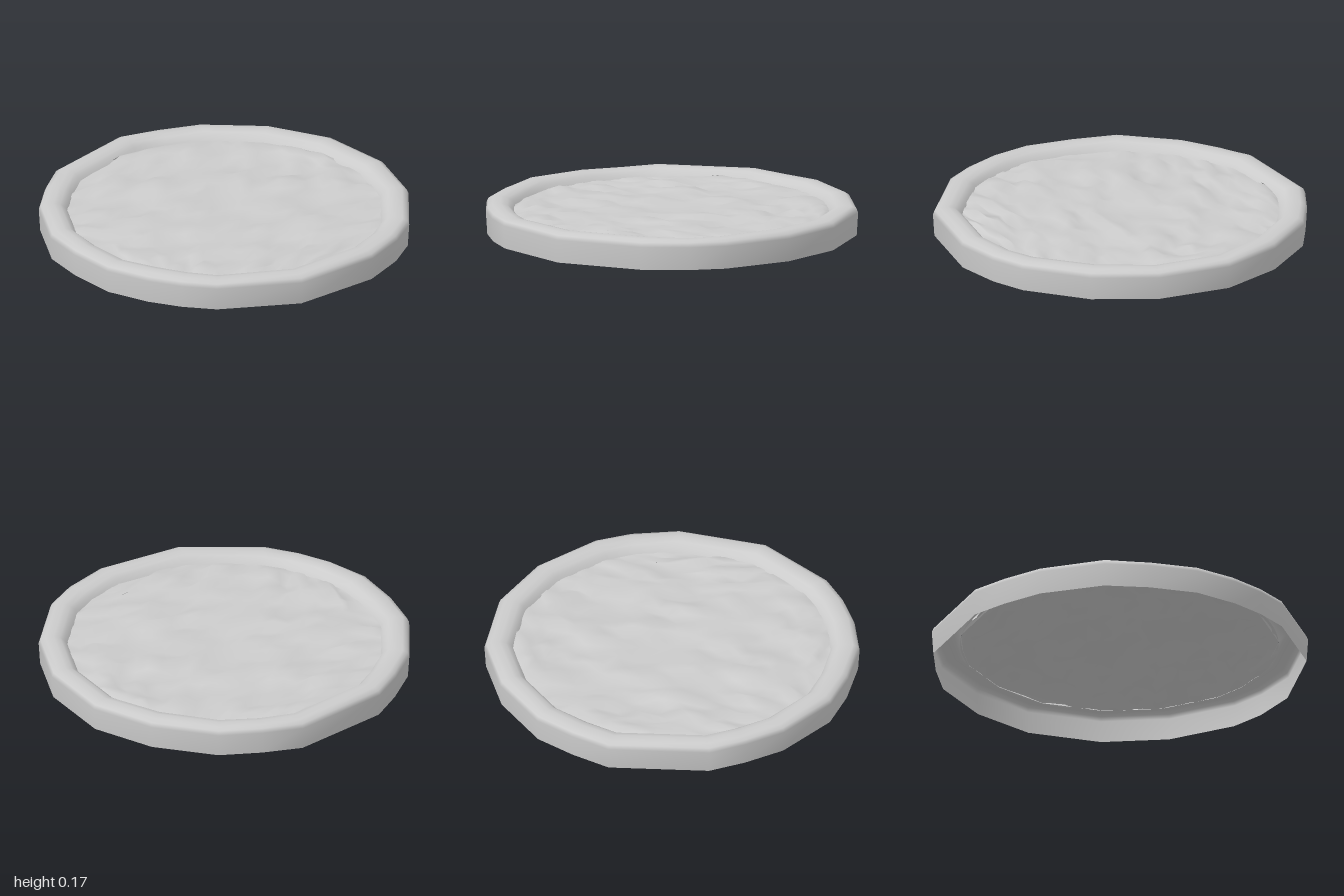
import * as THREE from 'three';

const material = new THREE.MeshStandardMaterial({ color: 0xcccccc, side: THREE.DoubleSide });

// Uneven hand-cut outline of the disc, as [x, z]
const OUTLINE = [
  [-0.1, -1], [0.27, -0.96], [0.6, -0.81], [0.87, -0.5], [0.99, -0.15], [0.98, 0.24],
  [0.91, 0.43], [0.77, 0.65], [0.38, 0.94], [-0.08, 1], [-0.27, 0.96], [-0.45, 0.89],
  [-0.66, 0.76], [-0.83, 0.55], [-0.95, 0.34], [-1, -0.02], [-0.96, -0.25],
  [-0.9, -0.45], [-0.54, -0.86], [-0.33, -0.94],
];

// Rim section from the open foot, over the rounded top, down to the recess: [scale, y]
const SECTION = [
  [0.992, 0], [1, 0.125], [0.99, 0.148], [0.965, 0.16], [0.92, 0.163], [0.885, 0.156],
  [0.86, 0.138], [0.845, 0.115],
];

// Repeatable value in 0..1 for a grid cell
function hash(i, j) {
  const s = Math.sin(i * 127.1 + j * 311.7) * 43758.5453;
  return s - Math.floor(s);
}

function rimGeometry() {
  const n = OUTLINE.length;
  const positions = [];
  const indices = [];
  SECTION.forEach(([scale, y], k) => {
    OUTLINE.forEach(([x, z], i) => {
      const wave = y > 0.15 ? 0.004 * Math.sin(i * 1.9) : 0;
      positions.push(x * scale, y + wave, z * scale);
      if (k === SECTION.length - 1) return;
      const a = k * n + i;
      const b = k * n + (i + 1) % n;
      indices.push(a, a + n, b, b, a + n, b + n);
    });
  });
  const geometry = new THREE.BufferGeometry();
  geometry.setAttribute('position', new THREE.Float32BufferAttribute(positions, 3));
  geometry.setIndex(indices);
  geometry.computeVertexNormals();
  return geometry;
}

// Rough relief: a square grid rounded into a disc, with bumps mirrored left and right
function reliefGeometry() {
  const cells = 22;
  const radius = 0.855;
  const geometry = new THREE.PlaneGeometry(2, 2, cells, cells).rotateX(-Math.PI / 2);
  const p = geometry.attributes.position;
  for (let k = 0; k < p.count; k++) {
    const u = p.getX(k);
    const v = p.getZ(k);
    const i = Math.round(Math.abs(u) * cells / 2);
    const j = Math.round((v + 1) * cells / 2);
    const edge = Math.max(Math.abs(u), Math.abs(v)) > 0.99;
    const jitter = edge ? 0 : 0.03;
    const x = u * Math.sqrt(1 - v * v / 2) * radius;
    const z = v * Math.sqrt(1 - u * u / 2) * radius;
    const dx = Math.sign(Math.round(u * cells)) * (hash(i + 40, j) - 0.5) * jitter;
    const dz = (hash(i, j + 60) - 0.5) * jitter;
    const y = edge ? 0.118 : 0.105 + 0.038 * hash(i, j);
    p.setXYZ(k, x + dx, y, z + dz);
  }
  geometry.computeVertexNormals();
  return geometry;
}

export function createModel() {
  const group = new THREE.Group();
  group.name = 'reliefDisc';
  for (const [name, geometry] of [['rim', rimGeometry()], ['reliefFace', reliefGeometry()]]) {
    const mesh = new THREE.Mesh(geometry, material);
    mesh.name = name;
    group.add(mesh);
  }
  return group;
}
